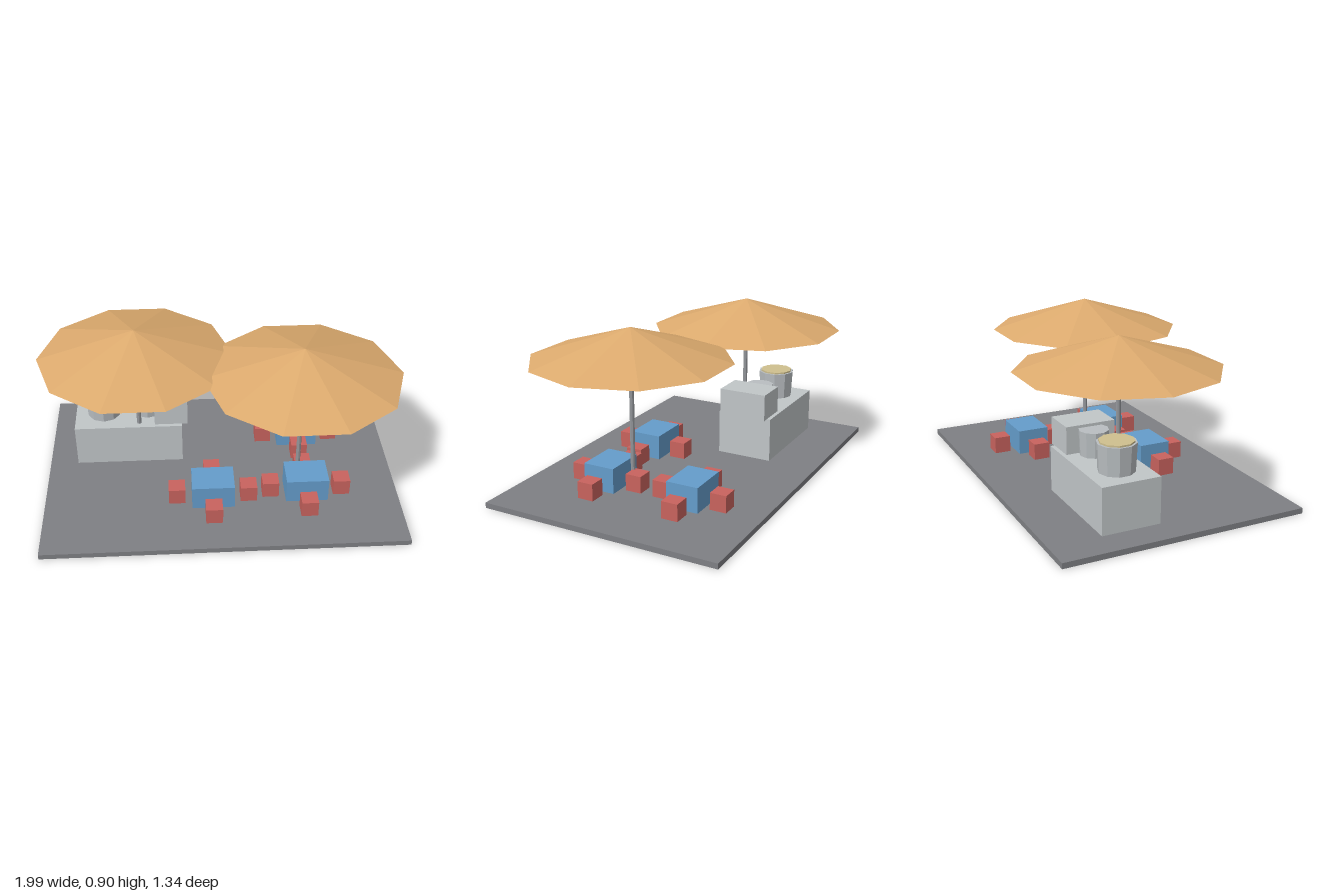
import * as THREE from 'three';

const mat = (name, color) => {
  const m = new THREE.MeshStandardMaterial({ color, flatShading: true });
  m.name = name;
  return m;
};

export function createModel() {
  const root = new THREE.Group();
  root.name = 'foodStallTerrace';

  const paving = mat('pavingGrey', 0x7f8084);
  const stone = mat('counterGrey', 0xc1c6c8);
  const steel = mat('potSteel', 0xb9bec1);
  const poleGrey = mat('poleGrey', 0x94979b);
  const straw = mat('straw', 0xcfc08f);
  const canvas = mat('umbrellaTan', 0xdcaa6e);
  canvas.side = THREE.DoubleSide;
  const blue = mat('tableBlue', 0x659dcb);
  const red = mat('stoolRed', 0xc9635e);

  const add = (parent, name, geometry, material, x, y, z) => {
    const mesh = new THREE.Mesh(geometry, material);
    mesh.name = name;
    mesh.position.set(x, y, z);
    parent.add(mesh);
    return mesh;
  };
  // Box standing on height y0
  const box = (parent, name, material, w, h, d, x, y0, z) =>
    add(parent, name, new THREE.BoxGeometry(w, h, d), material, x, y0 + h / 2, z);
  // Cylinder standing on height y0
  const drum = (parent, name, material, rTop, rBottom, h, sides, x, y0, z) =>
    add(parent, name, new THREE.CylinderGeometry(rTop, rBottom, h, sides), material, x, y0 + h / 2, z);

  const floor = 0.03;
  box(root, 'floorSlab', paving, 1.98, floor, 1.34, 0, 0, 0);

  // Serving counter with pots and a cabinet
  const stall = new THREE.Group();
  stall.name = 'stall';
  root.add(stall);
  box(stall, 'counter', stone, 0.615, 0.25, 0.32, -0.522, floor, -0.232);
  box(stall, 'cabinet', stone, 0.19, 0.152, 0.275, -0.275, 0.278, -0.232);
  drum(stall, 'largePot', steel, 0.104, 0.096, 0.152, 10, -0.665, 0.28, -0.232);
  drum(stall, 'potContents', straw, 0.092, 0.092, 0.009, 10, -0.665, 0.432, -0.232);
  drum(stall, 'smallPot', steel, 0.08, 0.075, 0.135, 10, -0.412, 0.28, -0.235);
  add(stall, 'hangingLamp', new THREE.OctahedronGeometry(0.046), straw, -0.52, 0.66, -0.235);

  // Umbrellas: pole, lamp and open ten-sided canopy
  for (const [x, z] of [[-0.46, -0.118], [0.441, 0.115]]) {
    const umbrella = new THREE.Group();
    umbrella.name = 'umbrella';
    umbrella.position.set(x, 0, z);
    root.add(umbrella);
    drum(umbrella, 'pole', poleGrey, 0.013, 0.013, 0.74, 8, 0, floor, 0);
    add(umbrella, 'poleLamp', new THREE.OctahedronGeometry(0.04), straw, 0, 0.71, 0);
    const canopy = new THREE.ConeGeometry(0.54, 0.17, 10, 1, true);
    canopy.rotateY(Math.PI / 10);
    add(umbrella, 'canopy', canopy, canvas, 0, 0.82, 0);
  }

  // Tables, each with a stool on every side
  for (const [x, z] of [[-0.053, 0.265], [0.472, 0.237], [0.472, -0.263]]) {
    const set = new THREE.Group();
    set.name = 'tableSet';
    set.position.set(x, 0, z);
    root.add(set);
    box(set, 'table', blue, 0.235, 0.14, 0.18, 0, floor, 0);
    for (const [sx, sz] of [[-0.2, 0], [0.2, 0], [0, -0.168], [0, 0.168]])
      box(set, 'stool', red, 0.092, 0.094, 0.092, sx, floor, sz);
  }

  return root;
}
